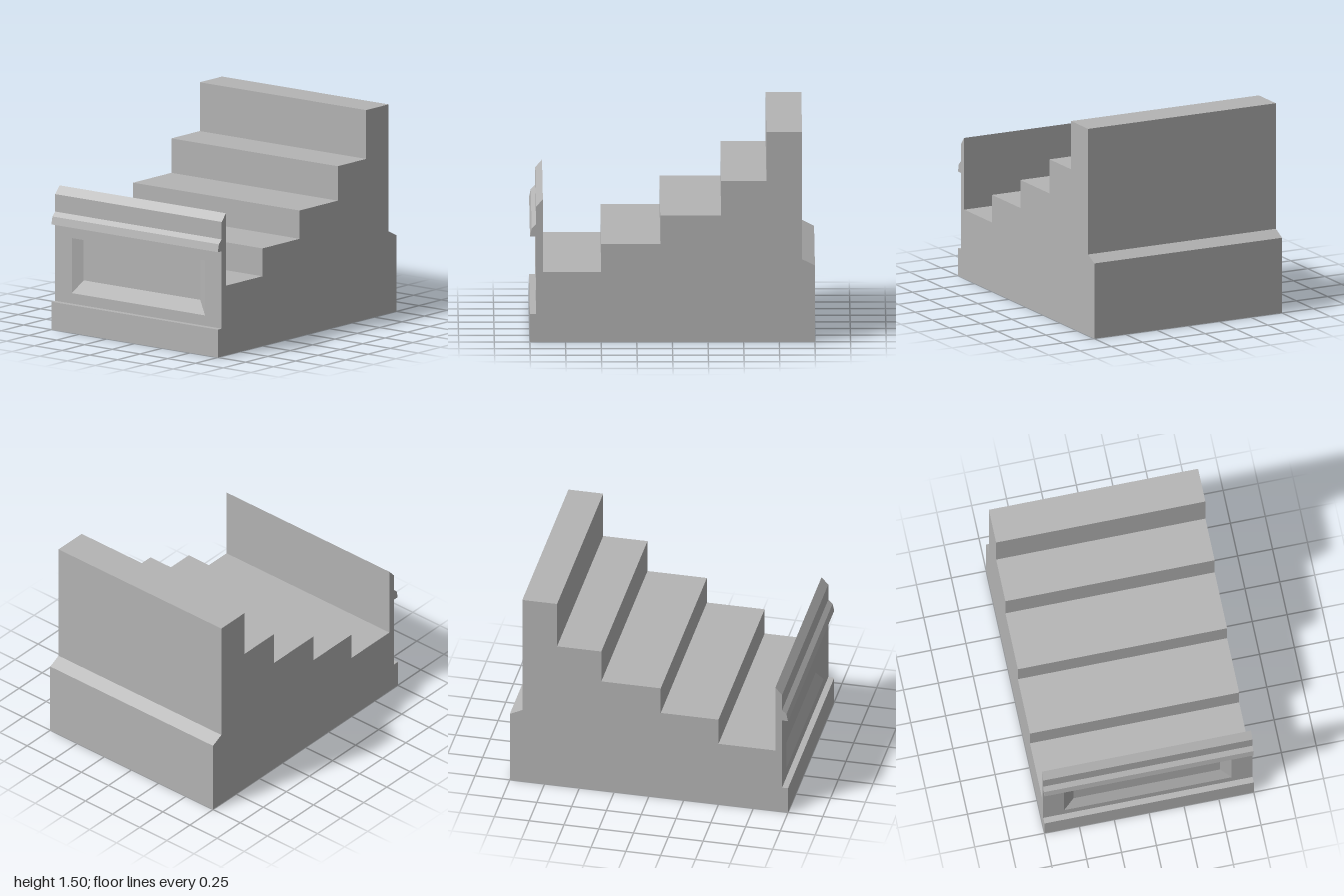
import * as THREE from 'three';

const W = 0.75; // half width
const stone = new THREE.MeshStandardMaterial({ color: 0xb4b4b4, side: THREE.DoubleSide });
stone.name = 'plain grey';

// Cross-section points are [z, y]
const base = [[1, 0], [1, 0.2], [0.957, 0.2]];
const moulding = [[0.957, 0.755], [1, 0.755], [0.988, 0.81], [0.957, 0.84], [0.957, 0.965], [0.909, 1.02]];
const steps = [
  [0.909, 1.02], [0.909, 0.5], [0.5, 0.5], [0.5, 0.7], [0.085, 0.7], [0.085, 0.903],
  [-0.342, 0.903], [-0.342, 1.15], [-0.66, 1.15], [-0.66, 1.5], [-0.91, 1.5],
];
const back = [[-0.91, 1.5], [-0.91, 0.59], [-1, 0.545], [-1, 0]];

// Flat faces from lists of four corners
function quads(list) {
  const pos = [];
  for (const [a, b, c, d] of list) pos.push(...a, ...b, ...c, ...a, ...c, ...d);
  const g = new THREE.BufferGeometry();
  g.setAttribute('position', new THREE.Float32BufferAttribute(pos, 3));
  g.computeVertexNormals();
  return g;
}

// Sweep a cross-section across the full width with sharp edges
function strip(points) {
  return quads(points.slice(1).map(([z1, y1], i) => {
    const [z0, y0] = points[i];
    return [[-W, y0, z0], [W, y0, z0], [W, y1, z1], [-W, y1, z1]];
  }));
}

export function createModel() {
  const group = new THREE.Group();
  const add = (name, geometry) => {
    const mesh = new THREE.Mesh(geometry, stone);
    mesh.name = name;
    group.add(mesh);
    return mesh;
  };

  // Swept skins, open underneath
  add('basePlinth', strip(base));
  add('frontMoulding', strip(moulding));
  add('steps', strip(steps));
  add('backWall', strip(back));

  // Inner walls reaching the floor
  add('frontInnerWall', strip([[0.909, 0.5], [0.909, 0]]));
  add('rearInnerWall', strip([[-0.66, 0], [-0.66, 1.15]]));

  // Front panel with a rectangular opening
  const rect = (T, x, y0, y1) => {
    const s = new T();
    s.moveTo(-x, y0).lineTo(x, y0).lineTo(x, y1).lineTo(-x, y1).closePath();
    return s;
  };
  const panel = rect(THREE.Shape, W, 0.2, 0.755);
  panel.holes.push(rect(THREE.Path, 0.6, 0.275, 0.67));
  add('frontPanel', new THREE.ShapeGeometry(panel).translate(0, 0, 0.957));

  // Recess: bevelled sides and sill, level top
  const ring = (x, y0, y1, z) => [[-x, y0, z], [x, y0, z], [x, y1, z], [-x, y1, z]];
  const outer = ring(0.6, 0.275, 0.67, 0.957);
  const inner = ring(0.525, 0.37, 0.67, 0.917);
  const recess = outer.map((p, i) => {
    const j = (i + 1) % 4;
    return [p, outer[j], inner[j], inner[i]];
  });
  add('panelRecess', quads([...recess, inner]));

  // Side walls follow the whole outline
  const outline = [...base, ...moulding, ...steps.slice(1), ...back.slice(1)];
  const side = new THREE.Shape(outline.map(([z, y]) => new THREE.Vector2(-z, y)));
  for (const s of [-1, 1]) {
    // Shape x becomes -z, facing outward on each side
    const g = new THREE.ShapeGeometry(side);
    if (s < 0) g.scale(-1, 1, 1).index.array.reverse();
    if (s < 0) g.computeVertexNormals();
    g.rotateY(s * Math.PI / 2).translate(s * W, 0, 0);
    add(s > 0 ? 'leftWall' : 'rightWall', g);
  }
  return group;
}
